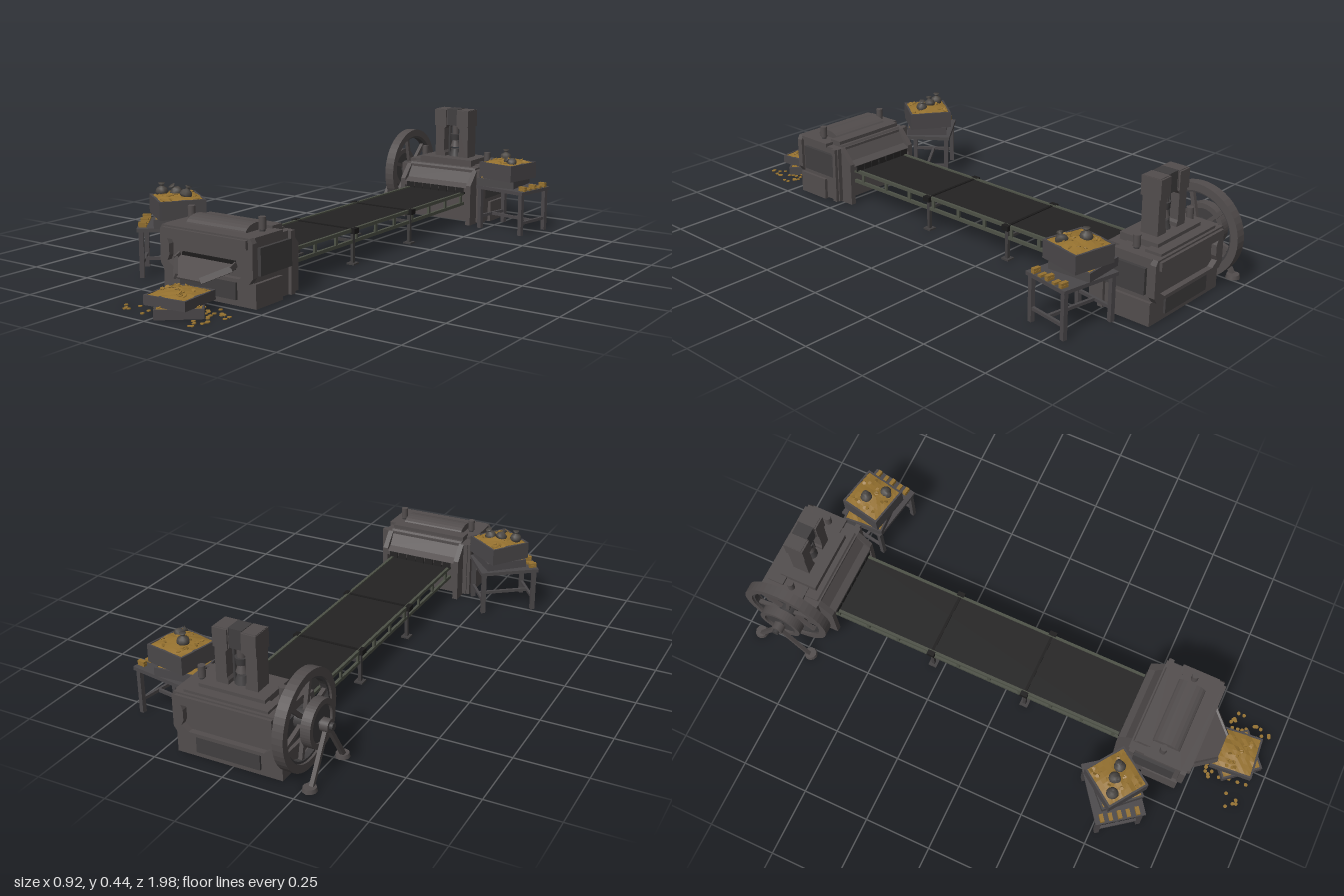
import * as THREE from 'three';

const mat = (name, color) => { const m = new THREE.MeshStandardMaterial({ color }); m.name = name; return m; };

export function createModel() {
  const iron = mat('iron', 0x524d4d), dark = mat('dark iron', 0x403e3f), black = mat('belt rubber', 0x242323);
  const gold = mat('gold', 0x95712f), rail = mat('rail steel', 0x4d5146), wood = mat('grey wood', 0x4a4749);
  const cloth = mat('sack cloth', 0x4b4743), slot = mat('slot', 0x1c1b1b);
  const root = new THREE.Group();
  let seed = 7;
  const rnd = () => (seed = (seed * 16807) % 2147483647) / 2147483647;

  const group = (name, parent, x = 0, y = 0, z = 0, ry = 0) => {
    const g = new THREE.Group();
    g.name = name; g.position.set(x, y, z); g.rotation.y = ry; parent.add(g);
    return g;
  };
  const add = (p, name, geo, m, x = 0, y = 0, z = 0) => {
    const o = new THREE.Mesh(geo, m);
    o.name = name; o.position.set(x, y, z); p.add(o);
    return o;
  };
  // box given by its limits on each axis
  const box = (p, name, m, x0, x1, y0, y1, z0, z1) => add(p, name,
    new THREE.BoxGeometry(x1 - x0, y1 - y0, z1 - z0), m, (x0 + x1) / 2, (y0 + y1) / 2, (z0 + z1) / 2);
  const cyl = (p, name, m, r0, r1, h, x, y, z, n = 16) => add(p, name, new THREE.CylinderGeometry(r0, r1, h, n), m, x, y, z);
  // square bar between two points
  const bar = (p, name, m, a, b, w, d = w) => {
    const A = new THREE.Vector3(...a), B = new THREE.Vector3(...b), dir = B.clone().sub(A);
    const o = add(p, name, new THREE.BoxGeometry(w, dir.length(), d), m);
    o.position.copy(A).add(B).multiplyScalar(0.5);
    o.quaternion.setFromUnitVectors(new THREE.Vector3(0, 1, 0), dir.normalize());
    return o;
  };
  const poly = pts => new THREE.Shape(pts.map(p => new THREE.Vector2(...p)));
  const extrude = (s, depth) => new THREE.ExtrudeGeometry(s, { depth, bevelEnabled: false, curveSegments: 24 });
  // side profile in (z, y), extruded symmetrically across x
  const across = (p, name, m, pts, half) => {
    const o = add(p, name, extrude(poly(pts.map(([z, y]) => [-z, y])), half * 2), m, -half);
    o.rotation.y = Math.PI / 2;
    return o;
  };

  // housing shared by both machines; +z is its outer side, -z takes the belt
  const housing = (name, z, ry) => {
    const g = group(name, root, 0.012, 0, z, ry);
    box(g, 'body', iron, -0.178, 0.178, 0.005, 0.215, -0.09, 0.11);
    box(g, 'plinth', iron, -0.19, 0.19, 0, 0.08, -0.02, 0.115);
    box(g, 'lowerPanel', dark, -0.115, 0.115, 0.02, 0.085, 0.11, 0.123);
    box(g, 'deck', iron, -0.185, 0.185, 0.212, 0.226, -0.03, 0.11);
    const frame = poly([[-0.19, 0.1], [-0.175, 0.08], [0.175, 0.08], [0.19, 0.1], [0.19, 0.21], [0.18, 0.226], [-0.18, 0.226], [-0.19, 0.21]]);
    frame.holes.push(poly([[-0.16, 0.11], [-0.135, 0.092], [0.135, 0.092], [0.16, 0.11], [0.152, 0.128], [0.152, 0.165], [0.16, 0.182], [-0.16, 0.182], [-0.152, 0.165], [-0.152, 0.128]]));
    add(g, 'panelFrame', extrude(frame, 0.022), iron, 0, 0, 0.108);
    box(g, 'topRail', iron, -0.172, 0.172, 0.19, 0.22, 0.12, 0.14);
    across(g, 'beltHood', iron, [[-0.14, 0.135], [-0.14, 0.15], [-0.115, 0.165], [-0.08, 0.222], [-0.03, 0.222], [-0.03, 0.135]], 0.15);
    for (const s of [-1, 1]) {
      across(g, 'cheek', iron, [[-0.14, 0], [-0.14, 0.16], [-0.09, 0.215], [-0.05, 0.215], [-0.05, 0]], 0.01).position.x += s * 0.152;
      box(g, 'sidePanel', dark, s * 0.183 - 0.007, s * 0.183 + 0.007, 0.1, 0.19, -0.07, 0.09);
      box(g, 'sideRib', iron, s * 0.184 - 0.006, s * 0.184 + 0.006, 0.005, 0.215, -0.085, -0.065);
      cyl(g, 'post', iron, 0.0125, 0.0125, 0.04, s * 0.146, 0.253, 0.025);
      cyl(g, 'postFoot', dark, 0.009, 0.009, 0.02, s * 0.146, 0.228, 0.025);
    }
    // toothed strip over the belt mouth
    for (let i = -3; i <= 3; i++) box(g, 'curtainStrip', black, i * 0.038 - 0.017, i * 0.038 + 0.017, 0.127, 0.15, -0.143, -0.139);
    return g;
  };

  // front machine with rounded hood and chute
  const front = housing('deliveryMachine', 0.6, 0);
  const arc = [[0.09, 0.215]];
  for (let i = 0; i <= 10; i++) arc.push([0.025 + 0.055 * Math.cos(i * Math.PI / 10), 0.222 + 0.03 * Math.sin(i * Math.PI / 10)]);
  across(front, 'roundHood', iron, [...arc, [-0.04, 0.215]], 0.123);
  box(front, 'hoodStep', iron, -0.15, 0.15, 0.22, 0.235, -0.07, -0.02);
  box(front, 'chuteSlot', slot, -0.108, 0.108, 0.115, 0.143, 0.11, 0.118);
  const chute = group('chute', front, 0, 0.127, 0.115);
  chute.rotation.x = 0.42;
  const floor = add(chute, 'chuteFloor', extrude(poly([[-0.115, 0], [0.115, 0], [0.115, -0.025], [0.05, -0.105], [-0.05, -0.105], [-0.115, -0.025]]), 0.006), iron);
  floor.rotation.x = -Math.PI / 2;
  for (const s of [-1, 1]) {
    bar(chute, 'chuteWall', iron, [s * 0.115, 0.008, 0], [s * 0.115, 0.008, 0.027], 0.006, 0.02);
    bar(chute, 'chuteWall', iron, [s * 0.115, 0.008, 0.025], [s * 0.05, 0.008, 0.105], 0.008, 0.02);
  }

  // rear machine with the press on top
  const rear = housing('pressMachine', -0.82, Math.PI);
  rear.position.x = 0.014;
  box(rear, 'pressBed', iron, -0.118, 0.118, 0.22, 0.247, -0.06, 0.085);
  box(rear, 'rearLedge', iron, -0.15, 0.15, 0.22, 0.235, 0.06, 0.12);
  const press = group('press', rear, 0, 0, 0.02);
  for (const s of [-1, 1]) {
    const col = poly([[0.03, 0.235], [0.075, 0.235], [0.075, 0.44], [0.022, 0.44], [0.022, 0.375], [0.035, 0.36], [0.035, 0.27], [0.03, 0.26]].map(([x, y]) => [x * s, y]));
    add(press, 'column', extrude(col, 0.064), iron, 0, 0, -0.032);
    box(press, 'columnCap', iron, s * 0.051 - 0.026, s * 0.051 + 0.026, 0.372, 0.438, -0.038, 0.038);
    cyl(press, 'guideRod', dark, 0.005, 0.005, 0.13, s * 0.027, 0.31, 0, 10);
  }
  box(press, 'crown', dark, -0.025, 0.025, 0.375, 0.442, -0.03, 0.03);
  cyl(press, 'ram', iron, 0.014, 0.014, 0.07, 0, 0.36, 0);
  cyl(press, 'ramCollar', dark, 0.022, 0.018, 0.025, 0, 0.325, 0);
  cyl(press, 'ramHead', iron, 0.012, 0.02, 0.025, 0, 0.298, 0);
  cyl(press, 'anvil', dark, 0.016, 0.026, 0.03, 0, 0.26, 0);

  // flywheel with spokes, pulley and stand
  const wheel = group('flywheel', root, -0.2, 0.172, -0.835);
  const ring = (p, name, m, ro, ri, w, x) => {
    const s = new THREE.Shape().absarc(0, 0, ro, 0, Math.PI * 2);
    s.holes.push(new THREE.Path().absarc(0, 0, ri, 0, Math.PI * 2));
    add(p, name, extrude(s, w), m, x - w / 2).rotation.y = Math.PI / 2;
  };
  const disc = (p, name, m, r, w, x) => { cyl(p, name, m, r, r, w, x, 0, 0, 32).rotation.z = Math.PI / 2; };
  ring(wheel, 'rim', iron, 0.165, 0.138, 0.038, 0);
  ring(wheel, 'rimBand', dark, 0.14, 0.13, 0.022, 0);
  for (let i = 0; i < 6; i++) {
    const a = i * Math.PI / 3 + 0.3, c = Math.cos(a), s = Math.sin(a);
    bar(wheel, 'spoke', iron, [0, 0.02 * s, 0.02 * c], [0, 0.138 * s, 0.138 * c], 0.014);
  }
  disc(wheel, 'hub', dark, 0.032, 0.045, 0);
  disc(wheel, 'axle', dark, 0.012, 0.14, -0.03);
  ring(wheel, 'pulleyRim', iron, 0.08, 0.062, 0.034, -0.045);
  disc(wheel, 'pulleyWeb', dark, 0.064, 0.016, -0.045);
  disc(wheel, 'bearing', iron, 0.022, 0.028, -0.075);
  for (const s of [-1, 1]) {
    bar(wheel, 'standLeg', iron, [-0.076, 0, 0], [-0.076, -0.16, s * 0.1], 0.014);
    cyl(wheel, 'standFoot', iron, 0.022, 0.025, 0.014, -0.072, -0.165, s * 0.105, 10);
  }

  // conveyor
  const conveyor = group('conveyor', root, 0.012, 0, 0);
  box(conveyor, 'belt', black, -0.117, 0.117, 0.117, 0.125, -0.72, 0.5);
  for (const s of [-1, 1]) {
    for (const y of [0.083, 0.124]) box(conveyor, 'sideRail', rail, s * 0.12 - 0.005, s * 0.12 + 0.005, y - 0.006, y + 0.006, -0.7, 0.48);
    for (let i = 0; i < 10; i++) {
      const z = 0.435 - i * 0.124;
      box(conveyor, 'railPost', rail, s * 0.12 - 0.004, s * 0.12 + 0.004, 0.083, 0.124, z - 0.006, z + 0.006);
    }
    for (const z of [0.085, -0.292]) {
      box(conveyor, 'leg', dark, s * 0.12 - 0.006, s * 0.12 + 0.006, 0, 0.125, z - 0.006, z + 0.006);
      box(conveyor, 'foot', dark, s * 0.12 - 0.016, s * 0.12 + 0.016, 0, 0.006, z - 0.016, z + 0.016);
      box(conveyor, 'bracket', slot, s * 0.128 - 0.009, s * 0.128 + 0.009, 0.112, 0.131, z - 0.014, z + 0.014);
    }
  }
  for (const z of [0.085, -0.292]) {
    box(conveyor, 'beltSeam', slot, -0.125, 0.125, 0.118, 0.128, z - 0.005, z + 0.005);
    box(conveyor, 'crossBar', dark, -0.12, 0.12, 0.078, 0.088, z - 0.005, z + 0.005);
  }

  // coins, crates, sacks and tables
  const coinGeo = new THREE.CylinderGeometry(0.007, 0.007, 0.003, 8);
  const coin = (p, x, y, z, tilt) => add(p, 'coin', coinGeo, gold, x, y, z).rotation.set(tilt * (rnd() - 0.5), 0, tilt * (rnd() - 0.5));
  const crate = (p, x, y, z, ry, w, h, heap) => {
    const g = group('crate', p, x, y, z, ry), r = w / 2, t = 0.007;
    box(g, 'crateBase', wood, -r + t, r - t, 0, h - 0.01, -r + t, r - t);
    for (const s of [-1, 1]) {
      box(g, 'crateWall', wood, -r, r, 0, h, s * (r - t / 2) - t / 2, s * (r - t / 2) + t / 2);
      box(g, 'crateWall', wood, s * (r - t / 2) - t / 2, s * (r - t / 2) + t / 2, 0, h, -r + t, r - t);
    }
    const pile = new THREE.PlaneGeometry(w - 2 * t, w - 2 * t, 8, 8).rotateX(-Math.PI / 2), pos = pile.attributes.position;
    for (let i = 0; i < pos.count; i++) {
      const k = Math.max(0, 1 - Math.hypot(pos.getX(i), pos.getZ(i)) / r);
      pos.setY(i, k * heap * 1.1 + (k > 0 ? rnd() * 0.004 : 0));
    }
    const flat = pile.toNonIndexed();
    flat.computeVertexNormals();
    add(g, 'goldHeap', flat, gold, 0, h - 0.002, 0);
    for (let i = 0; i < 22; i++) {
      const cx = (rnd() - 0.5) * w * 0.8, cz = (rnd() - 0.5) * w * 0.8;
      coin(g, cx, h + 0.002 + heap * Math.max(0, 1 - Math.hypot(cx, cz) / r), cz, 1);
    }
    return g;
  };
  const sackGeo = new THREE.LatheGeometry([[0, 0], [0.018, 0.002], [0.022, 0.012], [0.018, 0.024], [0.006, 0.031], [0.006, 0.034], [0.012, 0.042], [0, 0.039]].map(p => new THREE.Vector2(...p)), 10);
  const sack = (x, y, z, tilt = 0) => { add(root, 'sack', sackGeo, cloth, x, y, z).rotation.set(tilt, 0, tilt * 0.6); };
  const table = (x, z, ry, side) => {
    const g = group('table', root, x, 0, z, ry);
    box(g, 'tableTop', wood, -0.112, 0.112, 0.159, 0.172, -0.09, 0.09);
    for (const s of [-1, 1]) {
      for (const t of [-1, 1]) box(g, 'tableLeg', wood, s * 0.098 - 0.008, s * 0.098 + 0.008, 0, 0.16, t * 0.076 - 0.008, t * 0.076 + 0.008);
      box(g, 'stretcher', wood, s * 0.098 - 0.005, s * 0.098 + 0.005, 0.042, 0.053, -0.076, 0.076);
    }
    box(g, 'middleStretcher', wood, -0.098, 0.098, 0.042, 0.053, -0.005, 0.005);
    for (let i = 0; i < 5; i++) for (let j = 0; j < (i % 2 ? 1 : 2); j++) {
      const cx = side * 0.094, cz = -0.066 + i * 0.032;
      box(g, 'goldBar', gold, cx - 0.014, cx + 0.014, 0.172 + j * 0.009, 0.18 + j * 0.009, cz - 0.007, cz + 0.007);
    }
  };

  table(-0.316, 0.52, 0.645, -1);
  crate(root, -0.298, 0.172, 0.518, 0.75, 0.155, 0.03, 0.002);
  crate(root, -0.295, 0.202, 0.515, -0.61, 0.16, 0.063, 0.014);
  sack(-0.357, 0.265, 0.525);
  sack(-0.3, 0.268, 0.505, 0.5);
  sack(-0.262, 0.264, 0.515, -0.3);

  table(0.335, -0.733, -0.17, 1);
  crate(root, 0.29, 0.172, -0.74, 0.06, 0.155, 0.03, 0.002);
  crate(root, 0.31, 0.202, -0.735, -0.2, 0.157, 0.063, 0.014);
  sack(0.293, 0.268, -0.75);
  sack(0.352, 0.262, -0.705, 0.9);

  crate(root, 0.027, 0, 0.87, 0.7, 0.153, 0.032, 0.002);
  crate(root, 0.026, 0.032, 0.868, 0.09, 0.157, 0.032, 0.014);
  for (let i = 0; i < 46; i++) {
    const a = rnd() * Math.PI * 2, r = 0.45 + 0.55 * rnd();
    coin(root, 0.03 + Math.cos(a) * r * 0.2, 0.002, 0.88 + Math.sin(a) * r * 0.113, 0);
  }
  return root;
}
